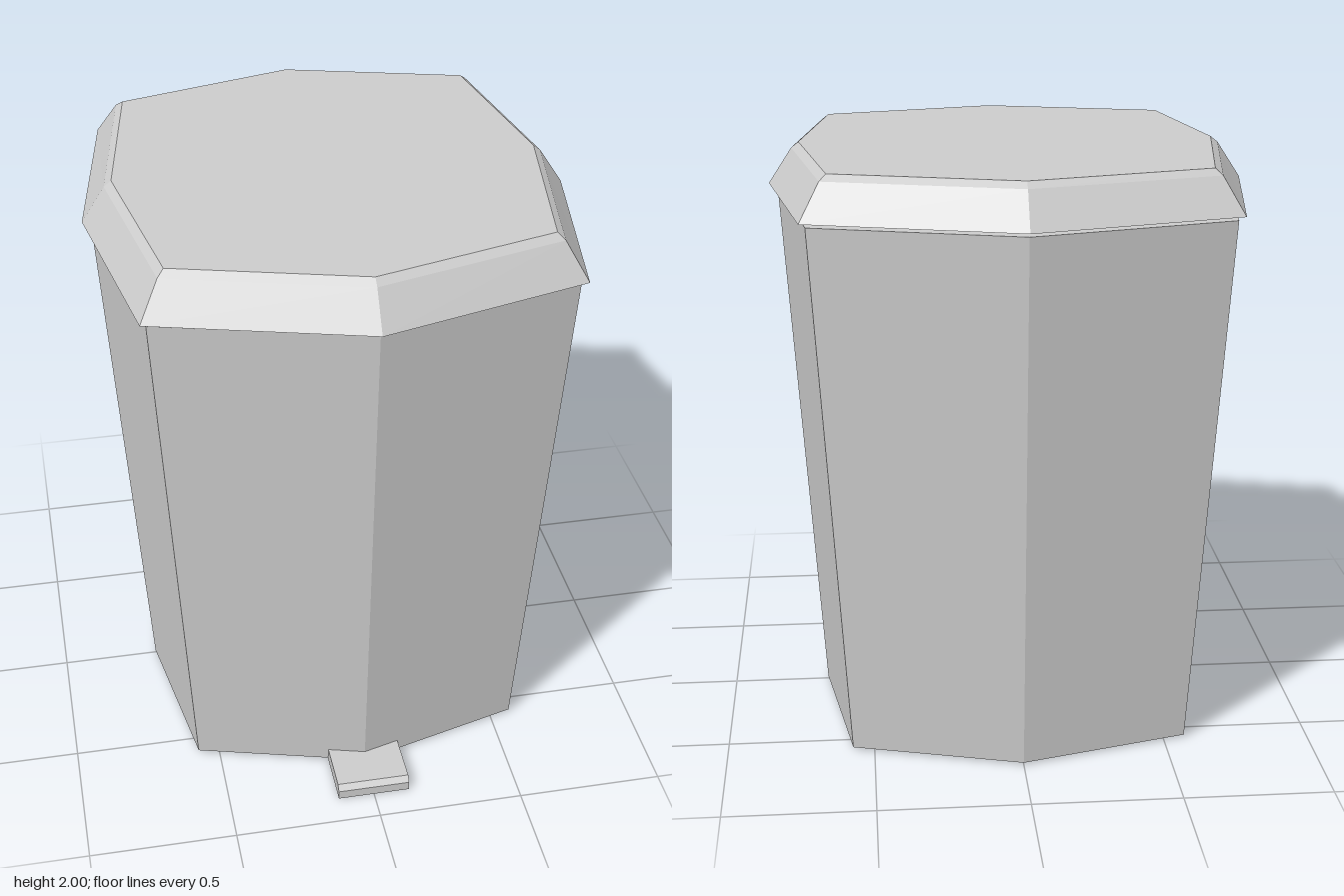
import * as THREE from 'three';

const material = new THREE.MeshStandardMaterial({ color: 0xcccccc, flatShading: true });

// Eight-sided ring: x = side point, z = front point, c = diagonal corner
function ring({ y, x, z, c }) {
  return [[0, z], [c, c], [x, 0], [c, -c], [0, -z], [-c, -c], [-x, 0], [-c, c]]
    .map(([px, pz]) => [px, y, pz]);
}

// Closed solid through rings listed from bottom to top
function loft(levels) {
  const rings = levels.map(ring);
  const positions = [];
  const tri = (a, b, c) => positions.push(...a, ...b, ...c);
  const bottom = [0, levels[0].y, 0];
  const top = [0, levels[levels.length - 1].y, 0];
  for (let i = 0; i < 8; i++) {
    const j = (i + 1) % 8;
    for (let k = 0; k < rings.length - 1; k++) {
      const lo = rings[k], hi = rings[k + 1];
      tri(lo[i], lo[j], hi[j]);
      tri(lo[i], hi[j], hi[i]);
    }
    tri(bottom, rings[0][j], rings[0][i]);
    tri(top, rings[rings.length - 1][i], rings[rings.length - 1][j]);
  }
  const geometry = new THREE.BufferGeometry();
  geometry.setAttribute('position', new THREE.Float32BufferAttribute(positions, 3));
  geometry.computeVertexNormals();
  return geometry;
}

export function createModel() {
  const group = new THREE.Group();
  const add = (name, geometry) => {
    const mesh = new THREE.Mesh(geometry, material);
    mesh.name = name;
    group.add(mesh);
    return mesh;
  };

  // Tapered bin with a small chamfer around the base
  add('binBody', loft([
    { y: 0, x: 0.645, z: 0.713, c: 0.56 },
    { y: 0.008, x: 0.662, z: 0.732, c: 0.573 },
    { y: 1.845, x: 0.783, z: 0.867, c: 0.678 },
  ]));

  // Overhanging lid, held just above the rim, with a bevelled top edge
  add('lid', loft([
    { y: 1.86, x: 0.812, z: 0.893, c: 0.698 },
    { y: 1.98, x: 0.733, z: 0.808, c: 0.632 },
    { y: 2, x: 0.708, z: 0.78, c: 0.61 },
  ]));

  // Foot pedal: side profile (z, y) extruded across the width
  const profile = new THREE.Shape([
    [0.68, 0], [0.895, 0], [0.895, 0.032], [0.877, 0.05], [0.68, 0.05],
  ].map(([z, y]) => new THREE.Vector2(z, y)));
  const pedal = new THREE.ExtrudeGeometry(profile, { depth: 0.25, bevelEnabled: false });
  pedal.translate(0, 0, -0.125).rotateY(-Math.PI / 2);
  add('footPedal', pedal);

  return group;
}
